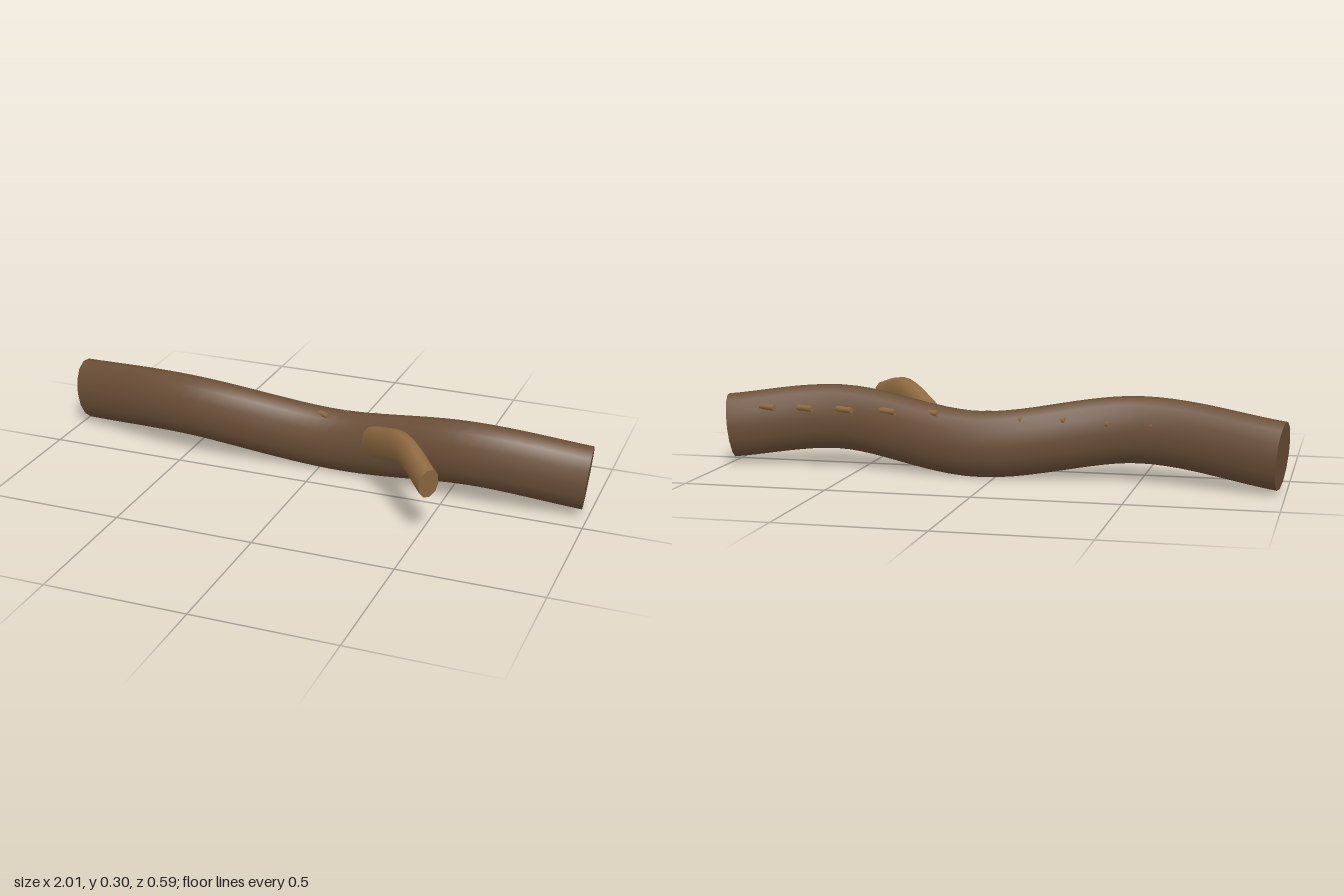
import * as THREE from 'three';

const V = (p) => new THREE.Vector3(...p);

// Sweeps an upright oval (half-height ry, half-width rz) along a curve, with flat end caps.
function sweepOval(points, ry, rz, steps, sides) {
  const curve = new THREE.CatmullRomCurve3(points.map(V));
  const up = new THREE.Vector3(0, 1, 0);
  const pos = [], nor = [], idx = [];
  const ringAt = (t) => {
    const c = curve.getPointAt(t), tan = curve.getTangentAt(t);
    const side = new THREE.Vector3().crossVectors(tan, up).normalize();
    const top = new THREE.Vector3().crossVectors(side, tan).normalize();
    const ring = [];
    for (let j = 0; j <= sides; j++) {
      const a = ((j + 0.5) / sides) * Math.PI * 2, cy = Math.cos(a), sz = Math.sin(a);
      ring.push({
        p: c.clone().addScaledVector(top, cy * ry).addScaledVector(side, sz * rz),
        n: top.clone().multiplyScalar(cy / ry).addScaledVector(side, sz / rz).normalize(),
      });
    }
    return { c, tan, ring };
  };
  const push = (p, n) => { pos.push(p.x, p.y, p.z); nor.push(n.x, n.y, n.z); return pos.length / 3 - 1; };
  for (let i = 0; i <= steps; i++) {
    for (const { p, n } of ringAt(i / steps).ring) push(p, n);
  }
  const w = sides + 1;
  for (let i = 0; i < steps; i++) {
    for (let j = 0; j < sides; j++) {
      const a = i * w + j, b = a + w;
      idx.push(a, a + 1, b, b, a + 1, b + 1);
    }
  }
  for (const t of [0, 1]) {
    const { c, tan, ring } = ringAt(t);
    const n = tan.clone().multiplyScalar(t ? 1 : -1);
    const mid = push(c, n), first = pos.length / 3;
    ring.forEach(({ p }) => push(p, n));
    for (let j = 0; j < sides; j++) {
      if (t) idx.push(mid, first + j, first + j + 1);
      else idx.push(mid, first + j + 1, first + j);
    }
  }
  const g = new THREE.BufferGeometry();
  g.setAttribute('position', new THREE.Float32BufferAttribute(pos, 3));
  g.setAttribute('normal', new THREE.Float32BufferAttribute(nor, 3));
  g.setIndex(idx);
  return g;
}

export function createModel() {
  const bark = new THREE.MeshStandardMaterial({ color: 0x6b4f37 });
  bark.name = 'dark bark';
  const wood = new THREE.MeshStandardMaterial({ color: 0x916c42 });
  wood.name = 'light wood';
  const model = new THREE.Group();
  model.name = 'driftwoodLog';
  const add = (name, geo, mat, parent = model) => {
    const m = new THREE.Mesh(geo, mat);
    m.name = name;
    parent.add(m);
    return m;
  };

  // Long wavy log
  add('log', sweepOval([
    [-0.986, 0.129, -0.227], [-0.5, 0.18, -0.108], [0.06, 0.115, -0.147],
    [0.59, 0.181, -0.068], [0.988, 0.141, -0.105],
  ], 0.1165, 0.07, 40, 14), bark);

  // Side branch arching forwards
  add('branch', sweepOval([
    [0.21, 0.155, -0.092], [0.29, 0.2, 0], [0.405, 0.246, 0.12], [0.535, 0.207, 0.267],
  ], 0.057, 0.036, 14, 10), wood);

  // Row of small splinters along the upper back
  const splinters = new THREE.Group();
  splinters.name = 'splinters';
  model.add(splinters);
  const along = new THREE.Vector3(0.07, 0, 0.035).normalize();
  const spots = [
    [-0.52, 0.205, -0.158], [-0.37, 0.205, -0.155], [-0.22, 0.213, -0.162],
    [-0.07, 0.21, -0.167], [0.01, 0.218, -0.126], [0.115, 0.22, -0.142], [0.23, 0.22, -0.16],
    [0.385, 0.22, -0.157], [0.545, 0.22, -0.156], [0.69, 0.22, -0.157], [0.83, 0.22, -0.161],
  ];
  for (const s of spots) {
    const m = add('splinter', new THREE.CylinderGeometry(0.011, 0.011, 0.07, 6), wood, splinters);
    m.position.set(...s);
    m.quaternion.setFromUnitVectors(new THREE.Vector3(0, 1, 0), along);
  }
  return model;
}
